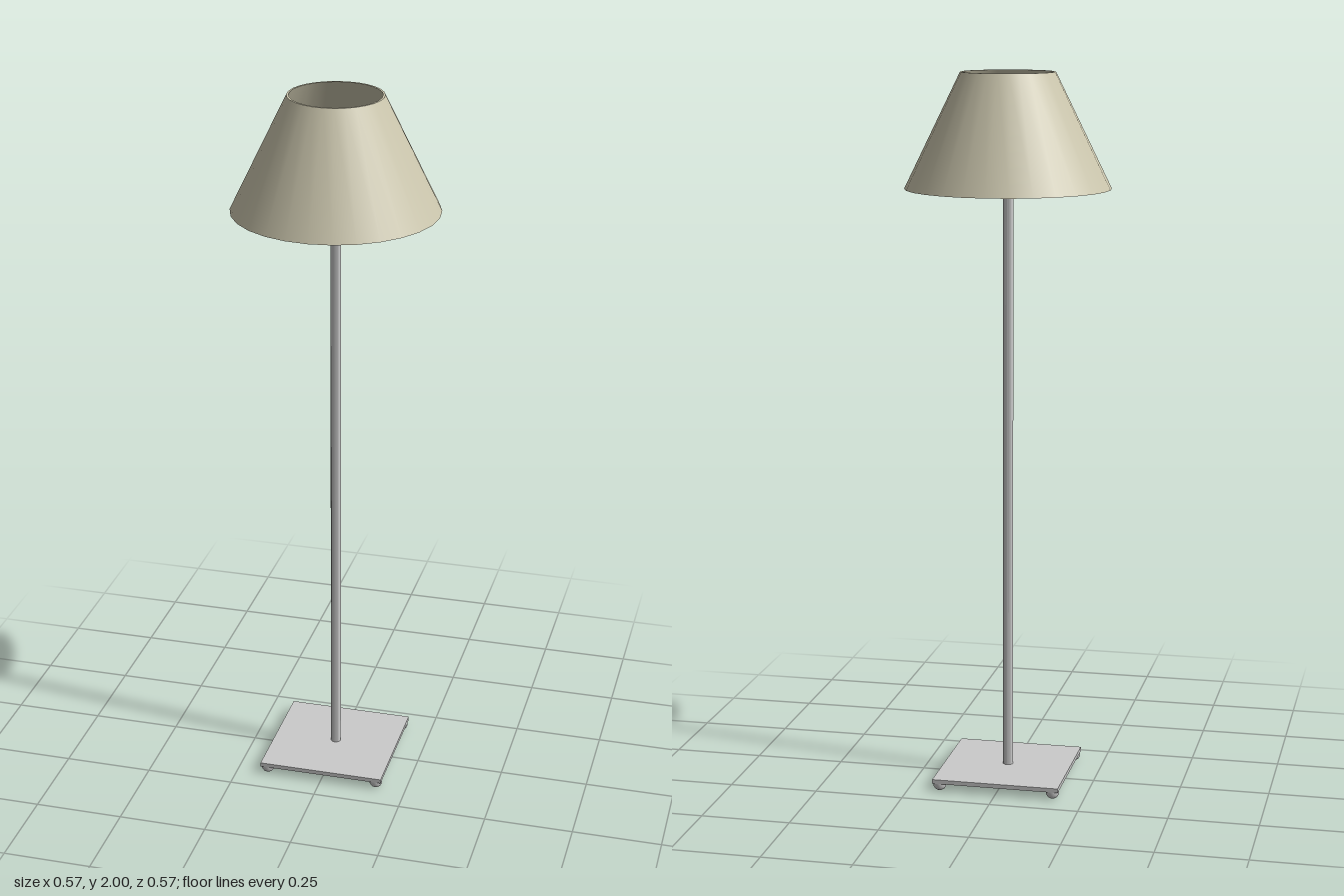
import * as THREE from 'three';
import { toCreasedNormals } from 'three/addons/utils/BufferGeometryUtils.js';

const metal = new THREE.MeshStandardMaterial({ color: 0xcccccc });
const fabric = new THREE.MeshStandardMaterial({ color: 0xccc7ae });

function addPart(parent, name, geometry, material, x = 0, y = 0, z = 0) {
  const mesh = new THREE.Mesh(geometry, material);
  mesh.name = name;
  mesh.position.set(x, y, z);
  parent.add(mesh);
  return mesh;
}

const lathe = (points, segments) =>
  new THREE.LatheGeometry(points.map(([r, y]) => new THREE.Vector2(r, y)), segments);

export function createModel() {
  const lamp = new THREE.Group();
  lamp.name = 'floorLamp';

  // Thin square base plate
  const plateBottom = 0.022, plateTop = 0.034;
  addPart(lamp, 'basePlate', new THREE.BoxGeometry(0.36, plateTop - plateBottom, 0.36), metal,
    0, (plateBottom + plateTop) / 2, 0);

  // Four small rounded feet under the corners
  const foot = lathe([[0, 0], [0.008, 0.001], [0.014, 0.005], [0.018, 0.012], [0.018, plateBottom]], 16);
  const feet = new THREE.Group();
  feet.name = 'feet';
  for (const x of [-0.162, 0.162])
    for (const z of [-0.162, 0.162]) addPart(feet, 'foot', foot, metal, x, 0, z);
  lamp.add(feet);

  // Slender pole, ending inside the shade
  const poleTop = 1.84;
  addPart(lamp, 'pole', toCreasedNormals(
    new THREE.CylinderGeometry(0.0145, 0.0145, poleTop - plateTop, 18), 0.7), metal,
    0, (poleTop + plateTop) / 2, 0);

  // Open conical shade with a thin wall
  const shade = lathe([[0.284, 1.684], [0.13, 2], [0.124, 2], [0.278, 1.684], [0.284, 1.684]], 28);
  addPart(lamp, 'shade', toCreasedNormals(shade, 0.7), fabric);

  return lamp;
}
